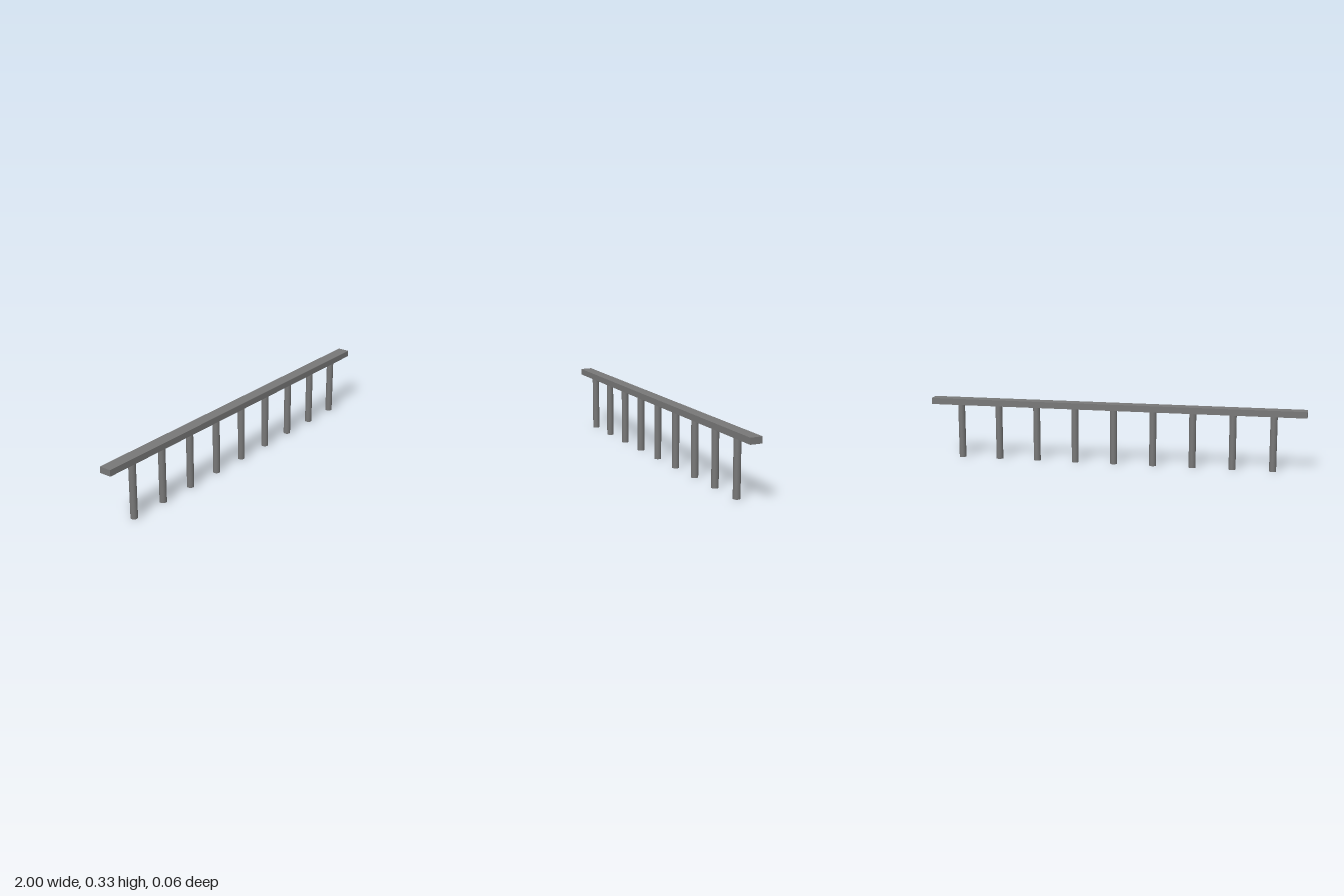
import * as THREE from 'three';

export function createModel() {
  const model = new THREE.Group();
  model.name = 'postRail';
  const material = new THREE.MeshStandardMaterial({ color: 0x777777 });

  const postHeight = 0.293, railHeight = 0.033;

  // Long rectangular rail across the top
  const rail = new THREE.Mesh(new THREE.BoxGeometry(2, railHeight, 0.064), material);
  rail.name = 'rail';
  rail.position.y = postHeight + railHeight / 2;
  model.add(rail);

  // Evenly spaced round posts, set slightly forward under the rail
  const postCount = 9, spacing = 0.2097;
  const postGeometry = new THREE.CylinderGeometry(0.0183, 0.0183, postHeight, 32);
  for (let i = 0; i < postCount; i++) {
    const post = new THREE.Mesh(postGeometry, material);
    post.name = `post${i + 1}`;
    post.position.set(0.008 + (i - (postCount - 1) / 2) * spacing, postHeight / 2, 0.009);
    model.add(post);
  }

  return model;
}
